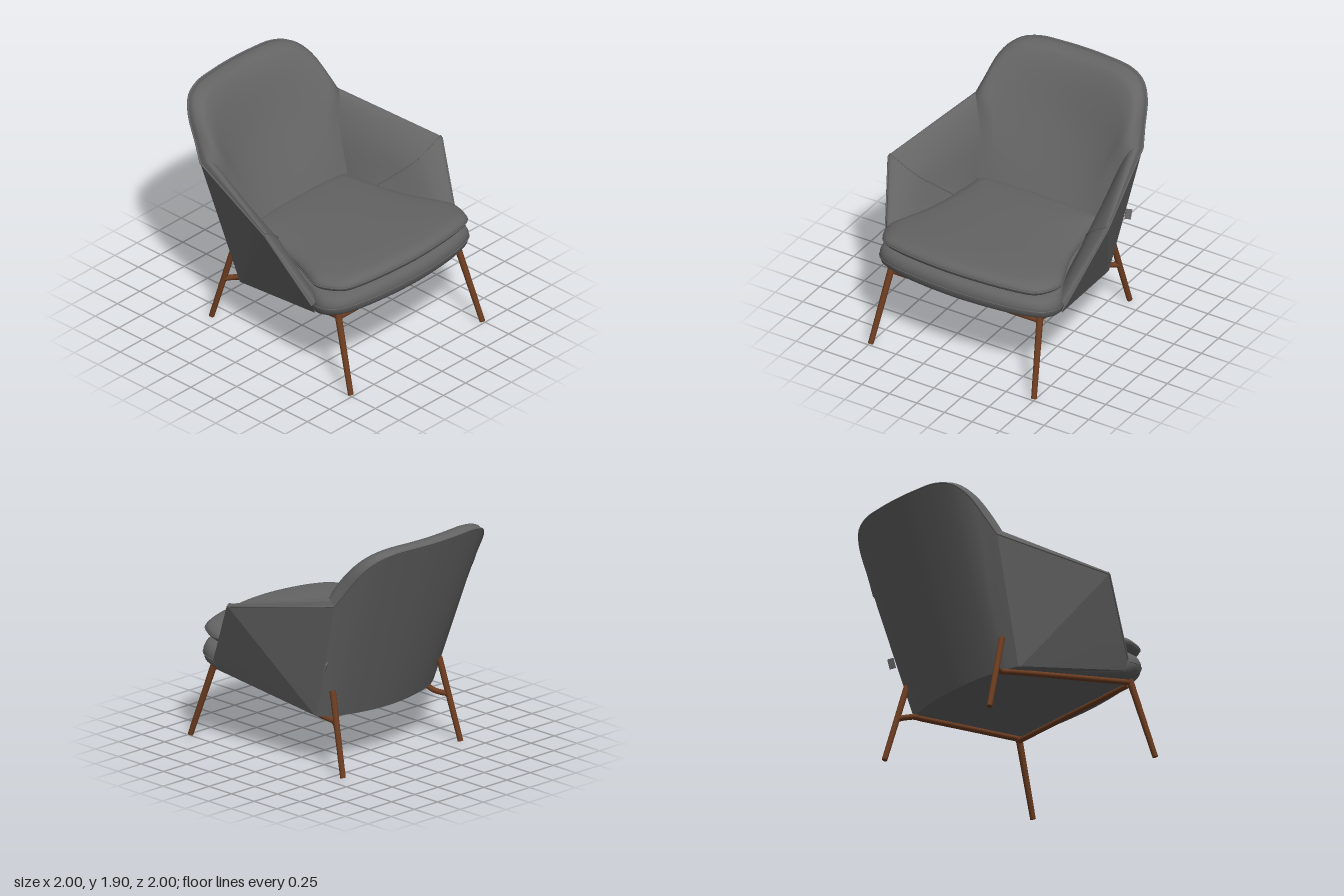
import * as THREE from 'three';
import { mergeVertices } from 'three/addons/utils/BufferGeometryUtils.js';

const V = (p) => new THREE.Vector3(...p);
const fabric = new THREE.MeshStandardMaterial({ color: 0x646464, side: THREE.DoubleSide });
fabric.name = 'greyFabric';
const wood = new THREE.MeshStandardMaterial({ color: 0x6d3d21 });
wood.name = 'brownWood';

function add(parent, name, geometry, material) {
  const mesh = new THREE.Mesh(geometry, material);
  mesh.name = name;
  parent.add(mesh);
  return mesh;
}

// Smooth surface through rows of points
function grid(rows, flip = false) {
  const n = rows[0].length, pos = [], idx = [];
  rows.forEach((r) => r.forEach((p) => pos.push(p.x, p.y, p.z)));
  for (let i = 0; i < rows.length - 1; i++) {
    for (let j = 0; j < n - 1; j++) {
      const a = i * n + j, b = a + 1, c = a + n, d = c + 1;
      if (flip) idx.push(a, c, b, b, c, d);
      else idx.push(a, b, c, b, d, c);
    }
  }
  let g = new THREE.BufferGeometry();
  g.setAttribute('position', new THREE.Float32BufferAttribute(pos, 3));
  g.setIndex(idx);
  g = mergeVertices(g, 1e-4);
  g.computeVertexNormals();
  return g;
}

// Loft across rails that share the same stations
function loft(rails, nu, nv, flip) {
  const curves = rails.map((r) => new THREE.CatmullRomCurve3(r));
  const rows = [];
  for (let i = 0; i <= nu; i++) {
    const section = curves.map((c) => c.getPoint(i / nu));
    rows.push(new THREE.CatmullRomCurve3(section).getPoints(nv));
  }
  return grid(rows, flip);
}

const tube = (pts, r, closed = false, seg = 60) =>
  new THREE.TubeGeometry(new THREE.CatmullRomCurve3(pts, closed), seg, r, 10, closed);

// Shell sections: outer foot, outer edge, crest, inner edge, inner middle, inner foot
const seatCorner = [[.785, .62, .64], [.82, .70, .64], [.80, .72, .655],
  [.78, .73, .645], [.74, .73, .61], [.68, .72, .57]];
const armTip = [[.635, .435, -.28], [.995, 1.265, .31], [.985, 1.285, .305],
  [.94, 1.265, .30], [.79, 1.14, .25], [.60, .88, .0]];
const backCorner = [[.63, .43, -.30], [.745, 1.425, -.61], [.735, 1.47, -.55],
  [.70, 1.45, -.50], [.61, 1.22, -.41], [.55, .88, -.27]];
const mirror = ([x, y, z]) => [-x, y, z];

// Backrest section derived from its outer edge point
const backSection = ([x, y, z]) => [
  [.75 * x, .405 + .03 * x * x, -.445 + .17 * x * x],
  [x, y, z],
  [x, y + .02, z + .06],
  [.95 * x, y - .02, z + .165],
  [.75 * x, 1.4 - .25 * x * x, -.59 + .3 * x * x],
  [.55 * x + .2 * x * x, .88, -.275],
];
const backEdge = [[.705, 1.56, -.70], [.65, 1.73, -.825], [.56, 1.825, -.91],
  [.42, 1.866, -.96], [.2, 1.872, -.988], [0, 1.872, -.997]];

// One upholstered panel: outer face, padded inner face, turned-under hem and edge piping
function panel(parent, name, list, nu, flip) {
  const g = new THREE.Group();
  g.name = name;
  const rail = (k) => list.map((s) => V(s[k]));
  const foot = rail(0), edge = rail(1);
  const hem = foot.map((p) => new THREE.Vector3(p.x * .8, p.y + .01, .2 + (p.z - .2) * .8));
  add(g, 'outerFace', loft([foot, edge], nu, 6, flip), fabric);
  add(g, 'innerFace', loft([edge, rail(2), rail(3), rail(4), rail(5)], nu, 24, flip), fabric);
  add(g, 'hem', loft([hem, foot], nu, 1, flip), fabric);
  add(g, 'piping', tube(edge, .007), fabric);
  parent.add(g);
}

// Closed cushion outline from the points of its left half
function outlineOf(half) {
  const right = half.slice(1, -1).reverse().map(([x, z]) => [-x, z]);
  const pts = [...half, ...right].map(([x, z]) => new THREE.Vector3(x, 0, z));
  return new THREE.CatmullRomCurve3(pts, true).getPoints(96);
}

// Pillow made of scaled outlines, each with its own height rule
function pillow(parent, name, half, rings, seamY) {
  const outline = outlineOf(half);
  const rows = rings.map(([s, height]) => outline.map((p) => {
    const x = p.x * s, z = .35 + (p.z - .35) * s;
    return new THREE.Vector3(x, height(x, z), z);
  }));
  add(parent, name, grid(rows), fabric);
  const seam = outline.slice(0, -1).map((p) => new THREE.Vector3(p.x, seamY(p.x, p.z), p.z));
  add(parent, name + 'Piping', tube(seam, .004, true, 120), fabric);
}

// Round bar between two points
function bar(parent, name, a, b, r0, r1) {
  const p = V(a), q = V(b), d = q.clone().sub(p);
  const m = add(parent, name, new THREE.CylinderGeometry(r1, r0, d.length(), 16), wood);
  m.position.copy(p).addScaledVector(d, .5);
  m.quaternion.setFromUnitVectors(new THREE.Vector3(0, 1, 0), d.normalize());
}

export function createModel() {
  const chair = new THREE.Group();
  chair.name = 'armchair';

  // Arms and backrest
  for (const side of [1, -1]) {
    const [front, tip, rear] = [seatCorner, armTip, backCorner]
      .map((s) => (side > 0 ? s : s.map(mirror)));
    const label = side > 0 ? 'left' : 'right';
    panel(chair, label + 'ArmFront', [front, tip], 12, side < 0);
    panel(chair, label + 'Arm', [tip, rear], 12, side < 0);
    add(chair, label + 'ArmSeam', tube(tip.slice(1).map(V), .005), fabric);
  }
  const leftBack = [backCorner, ...backEdge.map(backSection)];
  const rightBack = leftBack.slice(0, -1).reverse().map((s) => s.map(mirror));
  panel(chair, 'backrest', [...leftBack, ...rightBack], 48, false);

  // Seat base with sloping underside
  const under = (x, z) => .60 + .18 * (z - .65);
  const baseTop = (x) => .84 - .05 * x * x;
  const blend = (t) => (x, z) => THREE.MathUtils.lerp(under(x, z), baseTop(x), t);
  pillow(chair, 'seatBase', [
    [0, .985], [.35, .96], [.6, .91], [.74, .84], [.795, .75], [.80, .66], [.75, .53],
    [.69, .3], [.66, .1], [.63, -.1], [.59, -.28], [.45, -.38], [0, -.43],
  ], [
    [0, under], [.6, under], [.9, under], [.95, blend(.06)], [.985, blend(.2)], [1, blend(.45)],
    [.995, blend(.65)], [.975, blend(.84)], [.94, blend(.94)], [.85, blend(1)], [0, blend(1)],
  ], blend(.45));

  // Loose seat cushion
  const mid = (x, z) => .913 - .05 * x * x + .045 * (z - .8);
  const profile = [[0, 1], [.6, .98], [.85, .88], [.93, .72], [.97, .5], [.992, .25], [1, 0]];
  const puff = (k) => (x, z) => mid(x, z) + .072 * k;
  pillow(chair, 'seatCushion', [
    [0, .99], [.3, .97], [.55, .925], [.69, .87], [.76, .76], [.785, .65], [.74, .52],
    [.68, .38], [.625, .2], [.59, 0], [.565, -.2], [.55, -.33], [.3, -.36], [0, -.36],
  ], [
    ...profile.map(([s, k]) => [s, puff(-k)]),
    ...profile.slice(0, -1).reverse().map(([s, k]) => [s, puff(k)]),
  ], mid);

  // Small fabric tab on the left rear seam
  const tab = add(chair, 'seamTab', new THREE.BoxGeometry(.05, .08, .012), fabric);
  tab.position.set(.70, .88, -.47);
  tab.rotation.set(-.3, .6, 0);

  // Wooden frame
  const frame = new THREE.Group();
  frame.name = 'frame';
  for (const s of [1, -1]) {
    const label = s > 0 ? 'left' : 'right';
    bar(frame, label + 'FrontLeg', [s * .74, 0, .98], [s * .672, .62, .78], .022, .027);
    bar(frame, label + 'RearLeg', [s * .635, 0, -.595], [s * .575, .655, -.42], .022, .025);
    const path = [[.67, .597, .77], [.61, .502, .22], [.55, .408, -.31], [.537, .395, -.38],
      [.553, .383, -.43], [.603, .368, -.492]].map(([x, y, z]) => V([s * x, y, z]));
    add(frame, label + 'Rail', tube(path, .022), wood);
  }
  bar(frame, 'frontCrossbar', [-.66, .578, .775], [.66, .578, .775], .021, .021);
  chair.add(frame);
  return chair;
}
